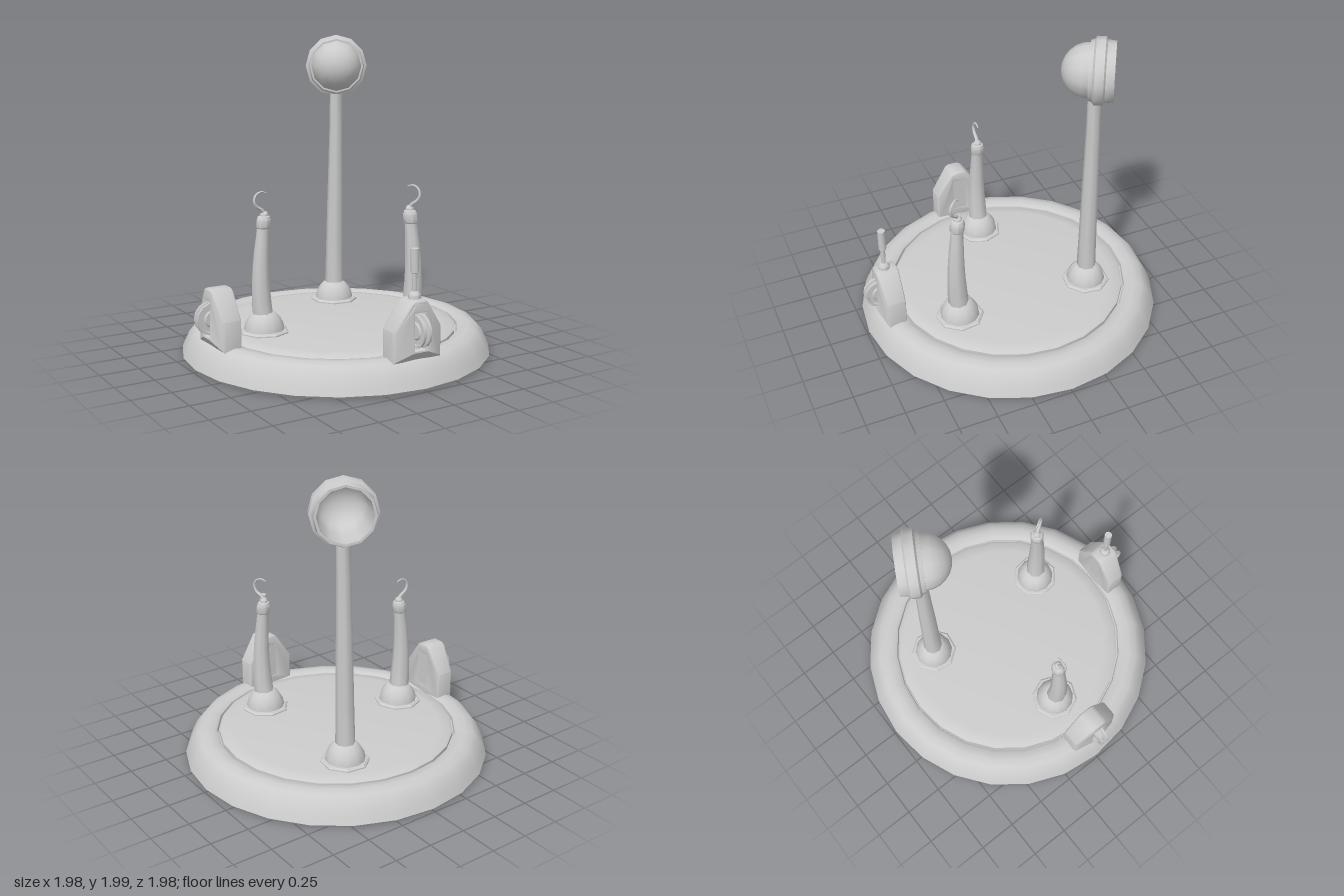
import * as THREE from 'three';
import { toCreasedNormals } from 'three/addons/utils/BufferGeometryUtils.js';

const material = new THREE.MeshStandardMaterial({ color: 0xcccccc });
const doubleSided = new THREE.MeshStandardMaterial({ color: 0xcccccc, side: THREE.DoubleSide });

function addMesh(parent, name, geometry, mat = material) {
  const mesh = new THREE.Mesh(geometry, mat);
  mesh.name = name;
  parent.add(mesh);
  return mesh;
}

// Turned shape from [radius, height] pairs; an optional rule moves its vertices.
function turned(profile, sides, crease = 0.85, rule = null) {
  const geo = new THREE.LatheGeometry(profile.map(([r, y]) => new THREE.Vector2(r, y)), sides);
  if (rule) moveVertices(geo, rule);
  return toCreasedNormals(geo, crease);
}

function moveVertices(geo, rule) {
  const pos = geo.attributes.position;
  const v = new THREE.Vector3();
  for (let i = 0; i < pos.count; i++) {
    v.fromBufferAttribute(pos, i);
    rule(v);
    pos.setXYZ(i, v.x, v.y, v.z);
  }
}

// Outer ring and the inset deck plate
function makeBase() {
  const base = new THREE.Group();
  base.name = 'base';
  addMesh(base, 'outerRing', turned([
    [0.785, 0], [0.975, 0], [0.988, 0.015], [0.97, 0.06], [0.94, 0.12], [0.9, 0.165], [0.85, 0.178],
    [0.8, 0.175], [0.78, 0.163], [0.775, 0.14], [0.74, 0.125], [0.74, 0.09], [0.785, 0.08], [0.785, 0]
  ], 24, 0.7));
  addMesh(base, 'deckPlate', turned([
    [0, 0.125], [0.7, 0.125], [0.71, 0.14], [0.765, 0.14], [0.765, 0.165], [0.75, 0.176], [0.68, 0.185], [0, 0.185]
  ], 24, 0.6));
  return base;
}

// Octagonal flange with a ball that shows above and below the deck
function addSocket(parent) {
  addMesh(parent, 'flange', turned([
    [0, 0.17], [0.155, 0.17], [0.155, 0.193], [0.143, 0.203], [0, 0.203]
  ], 8, 0.5));
  addMesh(parent, 'socketBall', turned([
    [0, 0.055], [0.06, 0.069], [0.105, 0.105], [0.128, 0.16], [0.127, 0.2], [0.117, 0.245],
    [0.098, 0.28], [0.075, 0.305], [0.06, 0.312], [0, 0.312]
  ], 12));
}

// Bent arm with a collar and a hook; the outward side is -x
function makeHookArm(stretch) {
  const arm = new THREE.Group();
  arm.name = 'hookArm';
  addSocket(arm);
  const upper = new THREE.Group();
  upper.name = 'armUpper';
  upper.position.y = 0.2 * (1 - stretch);
  upper.scale.y = stretch;
  arm.add(upper);
  const bend = v => { v.x -= 0.022 * Math.sin(Math.PI * (v.y - 0.2) / 0.65); };
  addMesh(upper, 'armShaft', turned([
    [0.066, 0.29], [0.063, 0.38], [0.057, 0.5], [0.052, 0.6], [0.047, 0.7], [0.042, 0.78], [0.039, 0.85]
  ], 8, 0.9, bend));
  addMesh(upper, 'armCollar', turned([
    [0.038, 0.835], [0.046, 0.845], [0.046, 0.89], [0.038, 0.91], [0.026, 0.914], [0.026, 0.926], [0.014, 0.94], [0, 0.942]
  ], 8, 0.8, bend));

  // Hook: a tube that thins towards its tip
  const curve = new THREE.CatmullRomCurve3([
    [0.008, 0.925], [-0.01, 0.95], [-0.045, 0.975], [-0.06, 1.01], [-0.046, 1.046], [-0.01, 1.062], [0.022, 1.052]
  ].map(([x, y]) => new THREE.Vector3(x, y, 0)));
  const segments = 20, sides = 6;
  const geo = new THREE.TubeGeometry(curve, segments, 0.013, sides);
  let index = 0;
  moveVertices(geo, v => {
    const t = Math.floor(index++ / (sides + 1)) / segments;
    v.lerp(curve.getPointAt(t), 0.65 * t);
  });
  geo.computeVertexNormals();
  addMesh(upper, 'hook', geo, doubleSided);
  return arm;
}

// Tall pole with a hollow domed head opening outwards
function makeLampPole() {
  const lamp = new THREE.Group();
  lamp.name = 'lampPole';
  addSocket(lamp);
  const lean = v => { v.z -= 0.015 * (v.y - 0.3) / 1.3; };
  addMesh(lamp, 'pole', turned([
    [0.062, 0.29], [0.057, 0.55], [0.053, 0.85], [0.047, 1.15], [0.043, 1.4], [0.042, 1.6]
  ], 8, 0.9, lean));

  const profile = [
    [0.165, -0.12], [0.165, -0.152], [0.18, -0.152], [0.187, -0.1], [0.203, -0.09], [0.203, -0.035], [0.186, -0.024], [0.178, 0]
  ];
  const arc = (r, flat, from, to, start) => {
    for (let i = start; i <= 6; i++) {
      const a = (from + (to - from) * i / 6) * Math.PI / 2;
      profile.push([Math.max(0, r * Math.cos(a)), flat * Math.sin(a)]);
    }
  };
  arc(0.166, 0.166, 0, 1, 0);
  arc(0.15, 0.13, 1, 0, 0);
  profile.push([0.165, -0.12]);
  const head = addMesh(lamp, 'lampHead', turned(profile, 12, 0.6), doubleSided);
  head.rotation.z = -Math.PI / 2;
  head.position.set(0.04, 1.785, -0.015);
  return lamp;
}

// Winch housing with a slot for a pulley wheel, facing +z
function makeWinch(withPost) {
  const winch = new THREE.Group();
  winch.name = 'winch';
  const shape = new THREE.Shape([
    [-0.155, 0.168], [0.155, 0.168], [0.155, 0.34], [0.05, 0.495], [0.03, 0.505],
    [-0.03, 0.505], [-0.05, 0.495], [-0.155, 0.34]
  ].map(p => new THREE.Vector2(...p)));
  shape.holes.push(new THREE.Path([
    [-0.049, 0.213], [-0.049, 0.457], [0.049, 0.457], [0.049, 0.213]
  ].map(p => new THREE.Vector2(...p))));
  const body = new THREE.ExtrudeGeometry(shape, {
    depth: 0.13, bevelEnabled: true, bevelThickness: 0.014, bevelSize: 0.012, bevelSegments: 2, steps: 1
  });
  // Bow the front face and tuck its top edge in
  moveVertices(body, v => {
    if (v.z > 0.1) v.z -= 1.4 * v.x * v.x + 0.12 * Math.max(0, v.y - 0.4);
    v.z += 0.789;
  });
  body.computeVertexNormals();
  addMesh(winch, 'housing', toCreasedNormals(body, 0.6));
  const back = addMesh(winch, 'slotBack', new THREE.BoxGeometry(0.1, 0.26, 0.05));
  back.position.set(0, 0.335, 0.802);

  // Grooved pulley with dished sides
  const wheel = addMesh(winch, 'pulleyWheel', turned([
    [0, -0.026], [0.045, -0.026], [0.055, -0.018], [0.08, -0.018], [0.085, -0.028], [0.1, -0.028],
    [0.1, -0.014], [0.076, -0.008], [0.076, 0.008], [0.1, 0.014], [0.1, 0.028], [0.085, 0.028],
    [0.08, 0.018], [0.055, 0.018], [0.045, 0.026], [0, 0.026]
  ], 14, 0.5));
  wheel.rotation.z = Math.PI / 2;
  wheel.position.set(0, 0.335, 0.897);

  if (withPost) {
    const post = addMesh(winch, 'leverPost', turned([
      [0.036, 0.5], [0.036, 0.54], [0.022, 0.558], [0.014, 0.56], [0.016, 0.665],
      [0.025, 0.67], [0.025, 0.81], [0, 0.81]
    ], 8, 0.8));
    post.position.z = 0.855;
  }
  return winch;
}

export function createModel() {
  const model = new THREE.Group();
  model.name = 'hookStand';
  model.add(makeBase());

  // Three uprights spaced evenly around the deck
  const uprights = [
    [makeHookArm(1), 0],
    [makeHookArm(1.045), 1],
    [makeLampPole(), -1]
  ];
  for (const [part, turn] of uprights) {
    const a = turn * Math.PI * 2 / 3;
    part.rotation.y = a;
    part.position.set(-0.52 * Math.cos(a), 0, 0.52 * Math.sin(a));
    model.add(part);
  }

  // Winches on the rim: one in front, one on the side
  const front = makeWinch(true);
  front.position.x = 0.005;
  const side = makeWinch(false);
  side.rotation.y = -Math.PI / 2;
  side.position.z = 0.038;
  model.add(front, side);
  return model;
}
